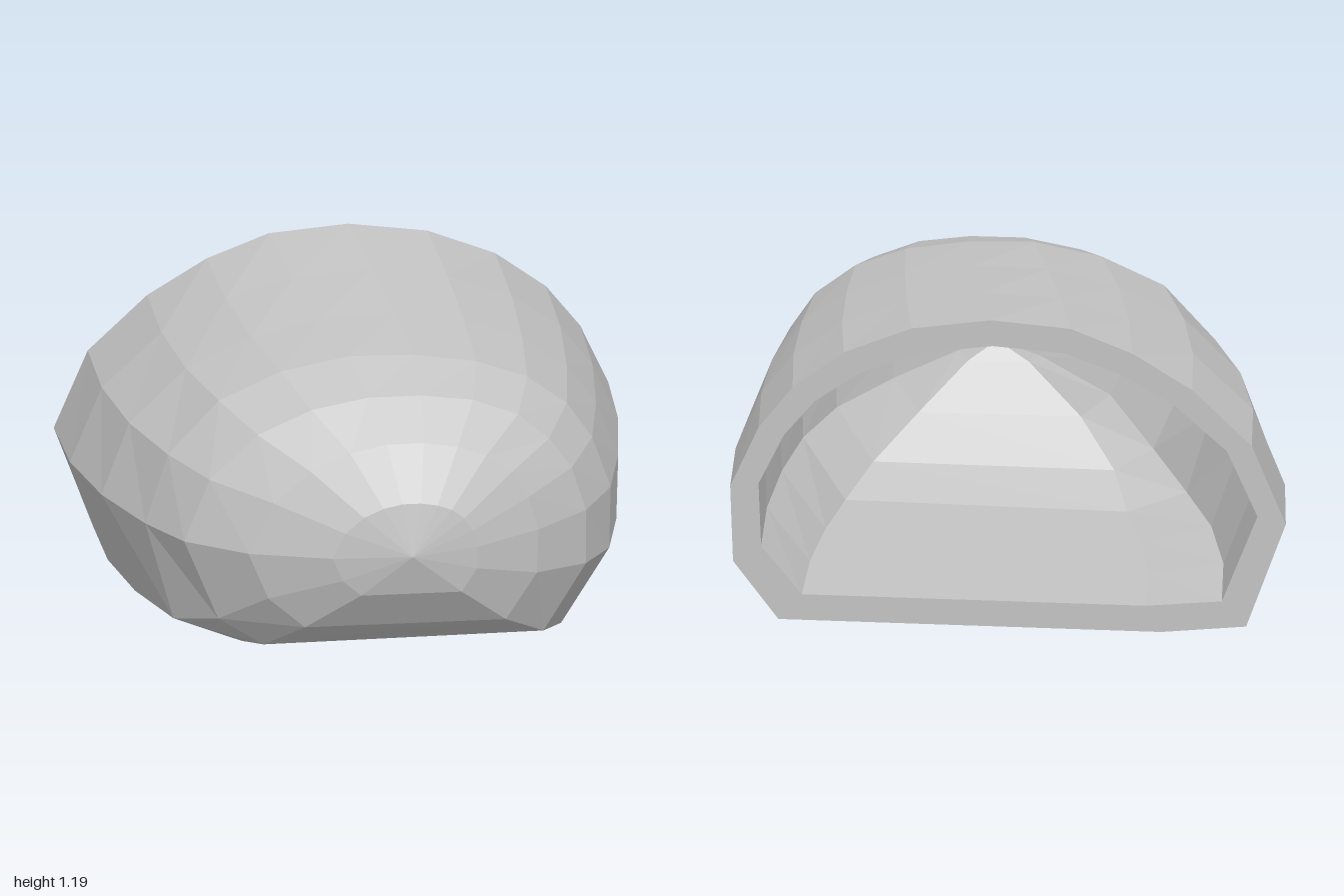
import * as THREE from 'three';

// Cross-sections [x, y], counter-clockwise from the lower right corner
const OPENING = [[.83, .01], [.99, .23], [1, .52], [.9, .75], [.78, .91], [.6, 1.05], [.36, 1.15], [.08, 1.19],
  [-.2, 1.165], [-.42, 1.075], [-.63, .94], [-.84, .73], [-.96, .43], [-.82, .03], [-.52, 0]];
const BODY = [[.57, .02], [.74, .31], [.745, .55], [.68, .75], [.59, .89], [.45, 1], [.27, 1.07], [.05, 1.105],
  [-.18, 1.11], [-.42, 1.06], [-.64, .955], [-.82, .75], [-.9, .48], [-.8, .1], [-.56, 0]];
const SHOULDER = [[.45, .09], [.6, .35], [.6, .56], [.55, .73], [.47, .85], [.36, .95], [.2, 1.015], [.02, 1.04],
  [-.17, 1.04], [-.37, 1], [-.56, .91], [-.73, .74], [-.82, .5], [-.7, .19], [-.54, .08]];
const NOSE = [[.27, .22], [.38, .4], [.385, .57], [.35, .7], [.29, .8], [.2, .87], [.1, .91], [-.02, .93],
  [-.15, .93], [-.28, .9], [-.42, .835], [-.55, .715], [-.64, .52], [-.57, .34], [-.44, .22]];
const TIP = [-.1, .55];
const BACK = -.645, FRONT = .84, SLANT = .19, WALL = .1;

// Section between two others, optionally stretched sideways
function blend(a, b, t, stretchR = 1, stretchL = 1) {
  return a.map(([x, y], i) => {
    const px = x + (b[i][0] - x) * t;
    return [px * (px > 0 ? stretchR : stretchL), y + (b[i][1] - y) * t];
  });
}

// Section shrunk by the wall thickness on each side
function inset(section) {
  const mid = [0, 1].map(k => {
    const v = section.map(p => p[k]);
    const lo = Math.min(...v), hi = Math.max(...v);
    return [(lo + hi) / 2, (hi - lo - 2 * WALL) / (hi - lo)];
  });
  return section.map(p => p.map((v, k) => mid[k][0] + (v - mid[k][0]) * mid[k][1]));
}

// Put a section on a plane parallel to the slanted opening
const place = (section, c) => section.map(([x, y]) => [x, y, c + SLANT * x]);

// Loft through equal rings, facing outward or inward
function loft(rings, flip = false) {
  const n = rings[0].length, index = [];
  for (let r = 0; r < rings.length - 1; r++) {
    for (let j = 0; j < n; j++) {
      const a = r * n + j, a1 = r * n + (j + 1) % n, b = a + n, b1 = a1 + n;
      if (flip) index.push(a, b1, a1, a, b, b1);
      else index.push(a, a1, b1, a, b1, b);
    }
  }
  const g = new THREE.BufferGeometry();
  g.setAttribute('position', new THREE.Float32BufferAttribute(rings.flat(2), 3));
  g.setIndex(index);
  const flat = g.toNonIndexed();
  flat.computeVertexNormals();
  return flat;
}

export function createModel() {
  const group = new THREE.Group();
  group.name = 'hollowCap';
  const grey = new THREE.MeshStandardMaterial({ color: 0xc4c4c4 });
  grey.name = 'plain grey';
  grey.flatShading = true;

  const tip = NOSE.map(() => TIP);
  const stations = [
    [OPENING, BACK],
    [blend(OPENING, BODY, .35, 1.035, 1.06), -.31],
    [blend(OPENING, BODY, .69, 1.035, 1.06), .016],
    [BODY, .31],
    [SHOULDER, .52],
    [NOSE, .69],
    [blend(NOSE, tip, .5), .795],
  ];
  const outer = stations.map(([s, c]) => place(s, c));
  outer.push(place(tip, FRONT));

  // Inner skin follows the outer one at wall thickness
  const innerC = c => c - WALL * (c - BACK) / (FRONT - BACK);
  const inner = stations.map(([s, c]) => place(inset(s), innerC(c)));
  inner.push(place(tip, innerC(FRONT)));

  const add = (name, geometry) => {
    const mesh = new THREE.Mesh(geometry, grey);
    mesh.name = name;
    group.add(mesh);
  };
  add('outerShell', loft(outer));
  add('innerShell', loft(inner, true));
  add('openingRim', loft([inner[0], outer[0]]));
  return group;
}
